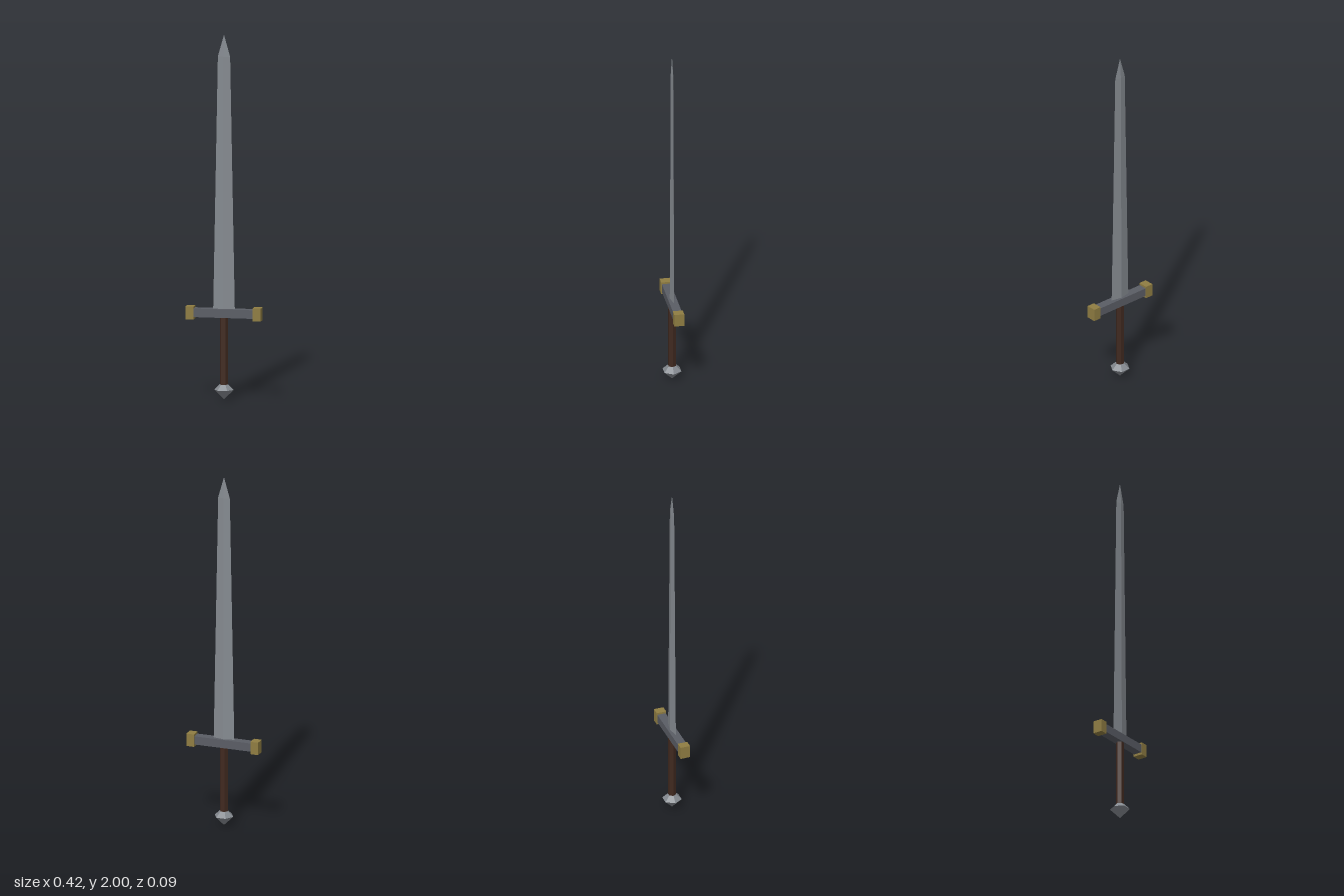
import * as THREE from 'three';

const material = (name, color) => {
  const m = new THREE.MeshStandardMaterial({ color, flatShading: true });
  m.name = name;
  return m;
};

export function createModel() {
  const steel = material('steel', 0x858a90);
  const darkSteel = material('darkSteel', 0x5a5d65);
  const brass = material('brass', 0x8f7d42);
  const leather = material('leather', 0x40291f);

  const sword = new THREE.Group();
  sword.name = 'sword';

  const add = (name, geometry, mat, x = 0, y = 0) => {
    const mesh = new THREE.Mesh(geometry, mat);
    mesh.name = name;
    mesh.position.set(x, y, 0);
    sword.add(mesh);
  };

  // Tapered prism between two heights, with corners on the x axis
  const prism = (rTop, rBottom, y0, y1, sides, open = false) =>
    new THREE.CylinderGeometry(rTop, rBottom, y1 - y0, sides, 1, open)
      .rotateY(Math.PI / 2)
      .translate(0, (y0 + y1) / 2, 0);

  // Blade: flattened diamond section, long taper and short point
  const flatten = 0.21;
  add('blade', prism(0.034, 0.06, 0.48, 1.88, 4).scale(1, 1, flatten), steel);
  add('bladeTip', prism(0, 0.034, 1.88, 2, 4, true).scale(1, 1, flatten), steel);

  // Crossguard with a block on each end
  add('crossguard', new THREE.BoxGeometry(0.36, 0.047, 0.048), darkSteel, 0, 0.473);
  for (const side of [1, -1]) {
    add(side > 0 ? 'leftGuardCap' : 'rightGuardCap',
      new THREE.BoxGeometry(0.045, 0.071, 0.055), brass, side * 0.186, 0.472);
  }

  // Six-sided grip
  add('grip', prism(0.023, 0.023, 0.07, 0.46, 6), leather);

  // Faceted pommel, narrow collar above and point below
  add('pommelTop', prism(0.024, 0.054, 0.053, 0.082, 6), steel);
  add('pommelPoint', prism(0.054, 0, 0, 0.053, 6, true), steel);

  return sword;
}
